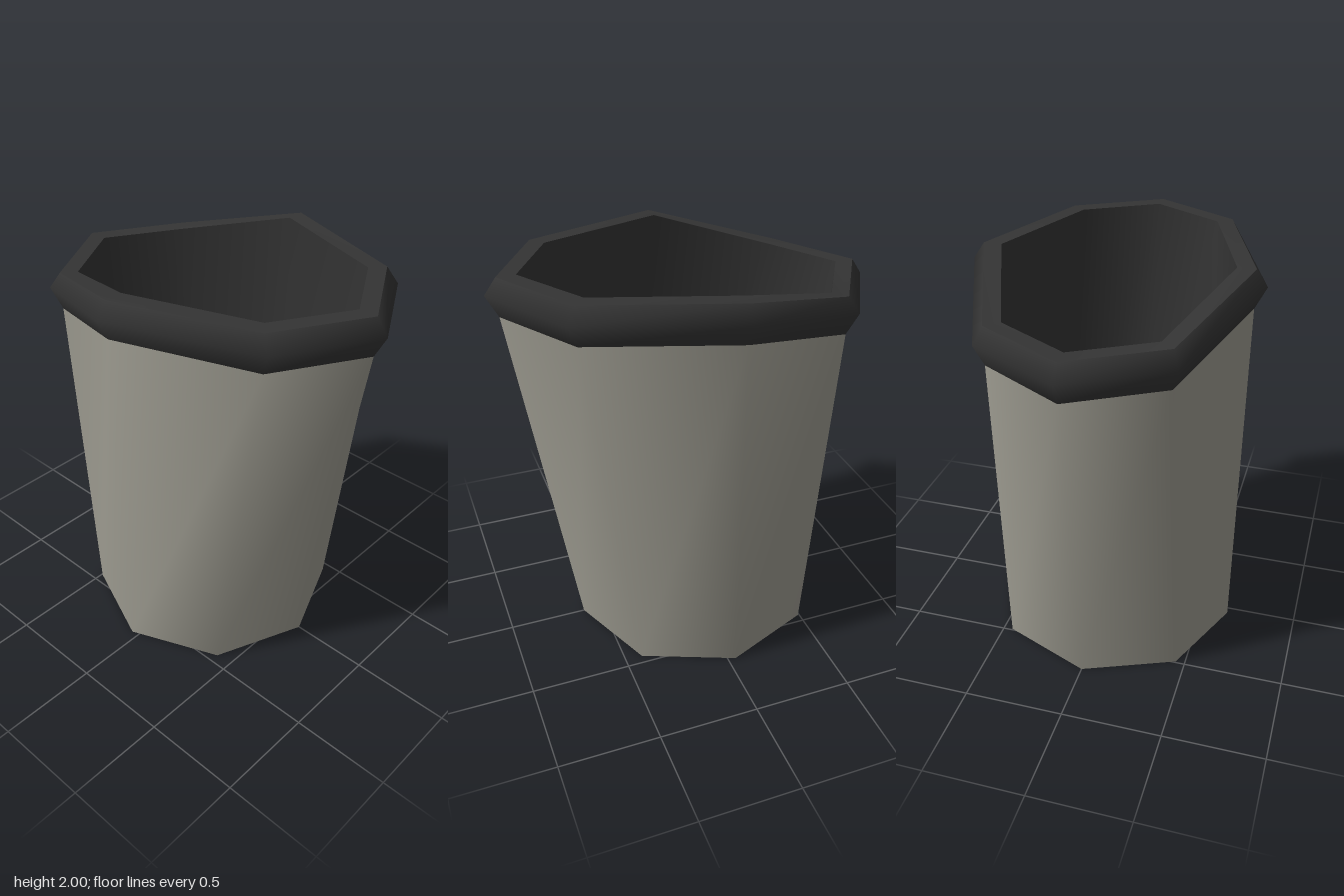
import * as THREE from 'three';

const SIDES = 8;
const CX = -0.04;

// Ring of eight corners from the five on the +z half (from +x round to -x), mirrored to -z
function ring(half, heights) {
  const pts = half.map(([x, z], i) => new THREE.Vector3(x, heights[i], z));
  for (let i = 3; i >= 1; i--) pts.push(new THREE.Vector3(pts[i].x, pts[i].y, -pts[i].z));
  return pts;
}

// Regular octagon (radius 0 gives a centre point)
function octagon(r, y) {
  return Array.from({ length: SIDES }, (_, i) => {
    const a = (i / SIDES) * Math.PI * 2;
    return new THREE.Vector3(CX + r * Math.cos(a), y, r * Math.sin(a));
  });
}

// Smooth skin through successive rings; separate skins leave a sharp edge between them
function skin(name, rings, material) {
  const pos = [], index = [];
  rings.forEach(r => r.forEach(p => pos.push(p.x, p.y, p.z)));
  for (let k = 0; k < rings.length - 1; k++) {
    for (let i = 0; i < SIDES; i++) {
      const j = (i + 1) % SIDES;
      const a = k * SIDES + i, b = k * SIDES + j;
      const d = a + SIDES, c = b + SIDES;
      index.push(a, d, b, b, d, c);
    }
  }
  const g = new THREE.BufferGeometry();
  g.setAttribute('position', new THREE.Float32BufferAttribute(pos, 3));
  g.setIndex(index);
  g.computeVertexNormals();
  const mesh = new THREE.Mesh(g, material);
  mesh.name = name;
  return mesh;
}

export function createModel() {
  const shell = new THREE.MeshStandardMaterial({ color: 0x9f9d92 });
  shell.name = 'warm grey shell';
  const dark = new THREE.MeshStandardMaterial({ color: 0x343434 });
  dark.name = 'charcoal rim and liner';

  // The mouth dips toward -x
  const top = [2, 2, 2, 1.85, 1.85];
  const drop = d => top.map(y => y - d);
  const edge = [[0.892, 0], [0.645, 0.425], [CX, 0.66], [-0.645, 0.425], [-0.897, 0]];
  const bulge = [[0.95, 0], [0.69, 0.458], [CX, 0.715], [-0.69, 0.458], [-0.95, 0]];
  const mouth = [[0.8, 0], [0.588, 0.358], [CX, 0.57], [-0.59, 0.358], [-0.802, 0]];

  const base = octagon(0.64, 0);
  const bodyTop = ring(edge, drop(0.19));
  const rimTop = ring(edge, top);
  const rimInner = ring(mouth, top);
  const floor = octagon(0.6, 0.05);

  // Liner widens close to the shell a little above the floor
  const linerBend = base.map((p, i) => {
    const q = p.clone().lerp(bodyTop[i], 0.37 / bodyTop[i].y);
    q.x = CX + (q.x - CX) * 0.965;
    q.z *= 0.965;
    return q;
  });

  const bin = new THREE.Group();
  bin.name = 'wasteBin';
  bin.add(
    skin('body', [base, bodyTop], shell),
    skin('underside', [octagon(0, 0), base], shell),
    skin('rimBand', [bodyTop, ring(bulge, drop(0.08)), rimTop], dark),
    skin('rimTop', [rimTop, rimInner], dark),
    skin('liner', [rimInner, linerBend, floor], dark),
    skin('linerFloor', [floor, octagon(0, 0.05)], dark)
  );
  return bin;
}
